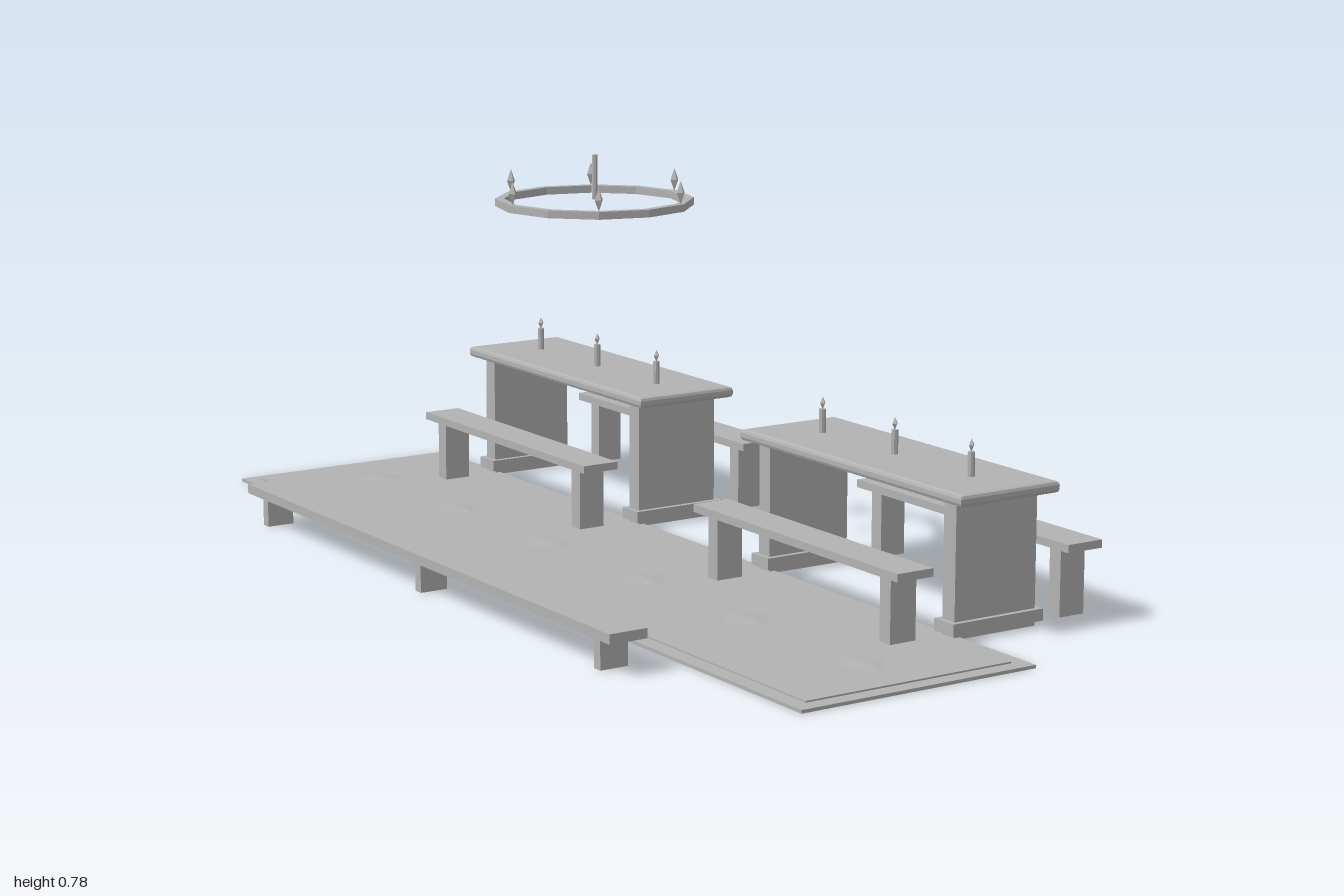
import * as THREE from 'three';

const grey = new THREE.MeshStandardMaterial({ color: 0xb2b2b2, flatShading: true });
grey.name = 'plain grey';

function add(parent, name, geometry, x, y, z) {
  const mesh = new THREE.Mesh(geometry, grey);
  mesh.name = name;
  mesh.position.set(x, y, z);
  parent.add(mesh);
  return mesh;
}

// Box given by its extents in x and y, and by centre and depth in z
function box(parent, name, x0, x1, y0, y1, z, depth) {
  return add(parent, name, new THREE.BoxGeometry(x1 - x0, y1 - y0, depth), (x0 + x1) / 2, (y0 + y1) / 2, z);
}

// Octahedron stretched to a given half width, half height and half depth
function spindle(parent, name, rx, ry, rz, x, y, z) {
  return add(parent, name, new THREE.OctahedronGeometry(1).scale(rx, ry, rz), x, y, z);
}

function group(parent, name, x = 0, y = 0, z = 0) {
  const g = new THREE.Group();
  g.name = name;
  g.position.set(x, y, z);
  parent.add(g);
  return g;
}

function bench(parent, name, x, z, length, width, bottom, top, legZs, legDepth) {
  const g = group(parent, name, x, 0, z);
  box(g, 'benchSeat', -width / 2, width / 2, bottom, top, 0, length);
  for (const lz of legZs) box(g, 'benchLeg', -0.0275, 0.0275, 0.002, bottom, lz, legDepth);
}

// Rectangular slab with softened edges
function bevelledSlab(width, height, length) {
  const b = 0.007, w = width / 2 - b, l = length / 2 - b;
  const shape = new THREE.Shape([[-w, -l], [w, -l], [w, l], [-w, l]].map(p => new THREE.Vector2(...p)));
  const geo = new THREE.ExtrudeGeometry(shape, {
    depth: height - 2 * b, bevelEnabled: true, bevelSize: b, bevelThickness: b, bevelSegments: 2,
  });
  return geo.rotateX(-Math.PI / 2).translate(0, b, 0);
}

function table(parent, z) {
  const g = group(parent, 'table', 0.243, 0, z);
  add(g, 'tableTop', bevelledSlab(0.218, 0.022, 0.66), 0, 0.246, 0);
  for (const s of [-1, 1]) {
    box(g, 'tableLeg', -0.09, 0.089, 0.002, 0.248, s * 0.277, 0.034);
    box(g, 'tableFoot', -0.1, 0.1, 0.012, 0.034, s * 0.277, 0.054);
  }
  for (const cz of [-0.22, 0, 0.22]) {
    add(g, 'candle', new THREE.CylinderGeometry(0.0065, 0.0065, 0.046, 8), 0, 0.29, cz);
    spindle(g, 'candleFlame', 0.006, 0.012, 0.006, 0, 0.324, cz);
  }
}

export function createModel() {
  const model = new THREE.Group();
  model.name = 'diningHall';

  // Carpet with a raised field and a row of low diamonds
  const carpet = group(model, 'carpet');
  box(carpet, 'carpetBorder', -0.321, 0.165, 0, 0.006, 0, 2);
  box(carpet, 'carpetField', -0.291, 0.135, 0.004, 0.009, 0, 1.94);
  for (let i = 0; i < 6; i++) {
    spindle(carpet, 'carpetDiamond', 0.062, 0.004, 0.062, -0.079, 0.0085, (i - 2.5) * 0.335);
  }

  // Two tables, each between a pair of benches
  for (const z of [-0.5, 0.5]) {
    table(model, z);
    for (const x of [0.054, 0.431]) bench(model, 'tableBench', x, z, 0.62, 0.077, 0.128, 0.143, [-0.262, 0.262], 0.03);
  }

  // Long low bench on the other side
  bench(model, 'longBench', -0.435, 0, 1.33, 0.076, 0.059, 0.077, [-0.61, 0, 0.61], 0.02);

  // Hanging ring with six flames
  const chandelier = group(model, 'chandelier', -0.079, 0, 0);
  const section = [[0.168, 0.685], [0.184, 0.685], [0.184, 0.699], [0.168, 0.699], [0.168, 0.685]];
  add(chandelier, 'chandelierRing', new THREE.LatheGeometry(section.map(p => new THREE.Vector2(...p)), 12), 0, 0, 0);
  add(chandelier, 'chandelierRod', new THREE.CylinderGeometry(0.005, 0.005, 0.083, 6), 0, 0.738, 0);
  for (let i = 0; i < 6; i++) {
    const a = i * Math.PI / 3;
    spindle(chandelier, 'chandelierFlame', 0.0085, 0.022, 0.0085, 0.177 * Math.cos(a), 0.72, 0.177 * Math.sin(a));
  }
  return model;
}
